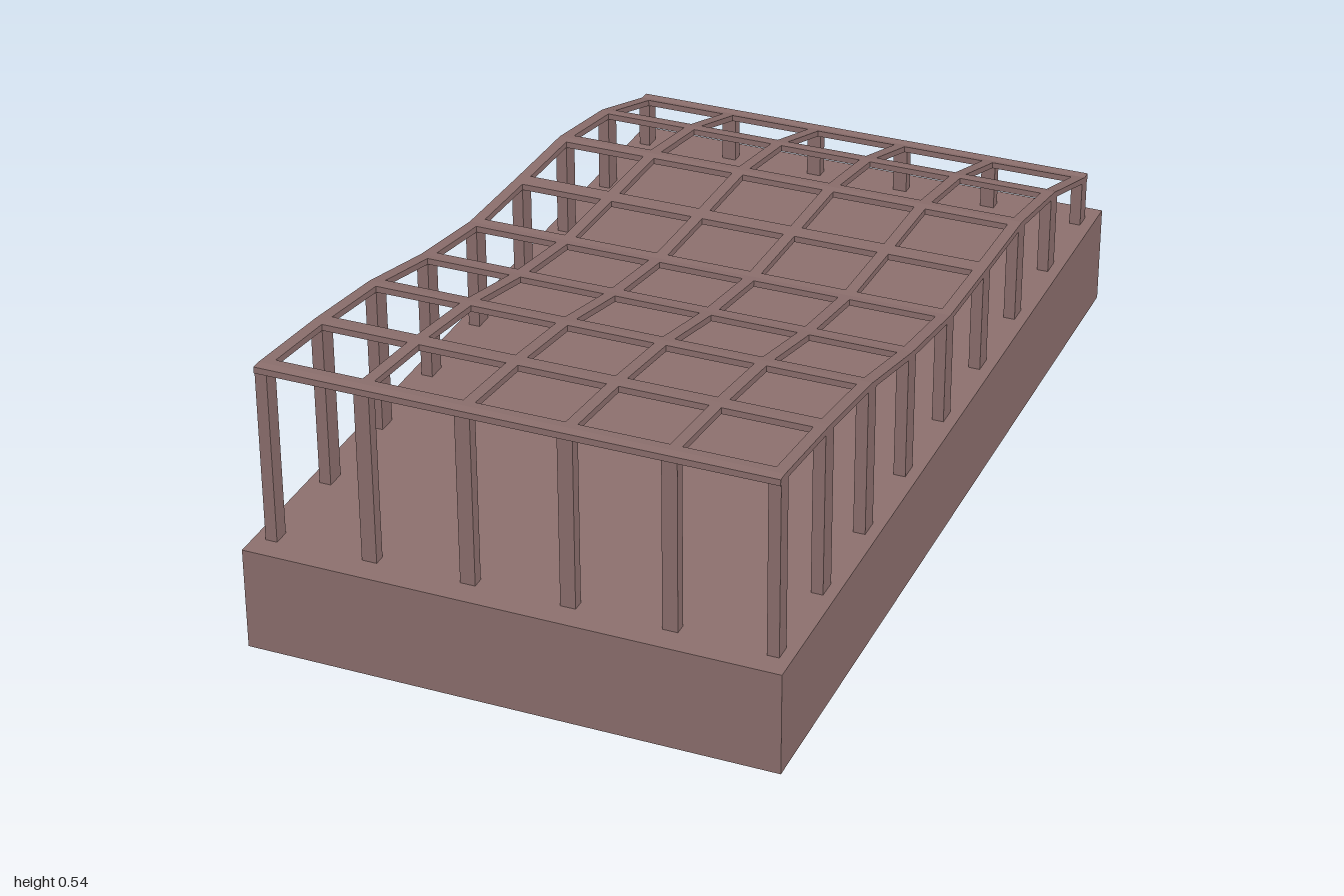
import * as THREE from 'three';

export function createModel() {
  const root = new THREE.Group();
  root.name = 'pavilionFrame';
  const model = new THREE.Group();
  model.name = 'rotatedStructure';
  model.rotation.y = 0.4124;
  root.add(model);

  const clay = new THREE.MeshStandardMaterial({ color: 0x8c6f6d });
  clay.name = 'dusty brown';

  const BASE = 0.197;
  const THICK = 0.012;
  const U = 0.815, V = 0.461;      // outer grid lines
  const BAYS_U = 8, BAYS_V = 5;
  const POST_W = 0.038, EDGE = 0.022;

  // Wavy roof height at each frame, constant across the width
  const heights = [0.54, 0.518, 0.488, 0.44, 0.407, 0.4, 0.395, 0.36, 0.295];
  const stationU = (i) => -U + (2 * U * i) / BAYS_U;
  const stationV = (j) => -V + (2 * V * j) / BAYS_V;
  const roofAt = (u) => {
    const t = Math.min(BAYS_U, Math.max(0, ((u + U) / (2 * U)) * BAYS_U));
    const i = Math.min(BAYS_U - 1, Math.floor(t));
    return heights[i] + (heights[i + 1] - heights[i]) * (t - i);
  };

  const add = (name, geometry, x = 0, y = 0, z = 0) => {
    const mesh = new THREE.Mesh(geometry, clay);
    mesh.name = name;
    mesh.position.set(x, y, z);
    model.add(mesh);
  };

  // Strip of roof between two lengths, extruded across its width
  const roofStrip = (name, u0, u1, v, width) => {
    const us = [u0];
    for (let i = 0; i <= BAYS_U; i++) {
      const u = stationU(i);
      if (u > u0 + 1e-4 && u < u1 - 1e-4) us.push(u);
    }
    us.push(u1);
    const top = us.map((u) => new THREE.Vector2(u, roofAt(u)));
    const bottom = us.map((u) => new THREE.Vector2(u, roofAt(u) - THICK)).reverse();
    const geometry = new THREE.ExtrudeGeometry(new THREE.Shape([...bottom, ...top]), {
      depth: width, bevelEnabled: false,
    });
    add(name, geometry, 0, 0, v - width / 2);
  };

  const post = (name, u, v, w, d) => {
    const h = roofAt(u) - THICK / 2 - BASE;
    add(name, new THREE.BoxGeometry(w, h, d), u, BASE + h / 2, v);
  };

  // Solid plinth
  add('plinth', new THREE.BoxGeometry(1.751, BASE, 0.988), 0, BASE / 2, 0);

  // Curved rails running the length
  for (let j = 0; j <= BAYS_V; j++) {
    roofStrip('longRail', -U - POST_W / 2, U + POST_W / 2, stationV(j), EDGE);
  }

  // Cross beams, with a post at each end on the long sides
  for (let i = 0; i <= BAYS_U; i++) {
    const u = stationU(i);
    roofStrip('crossBeam', u - POST_W / 2, u + POST_W / 2, 0, 2 * V + EDGE);
    const w = i === 0 || i === BAYS_U ? 0.032 : POST_W;
    for (const side of [-1, 1]) post('sidePost', u, side * V, w, EDGE);
  }

  // Posts along both short ends
  for (const end of [-1, 1]) {
    for (let j = 1; j < BAYS_V; j++) post('endPost', end * U, stationV(j), EDGE, 0.028);
  }

  return root;
}
